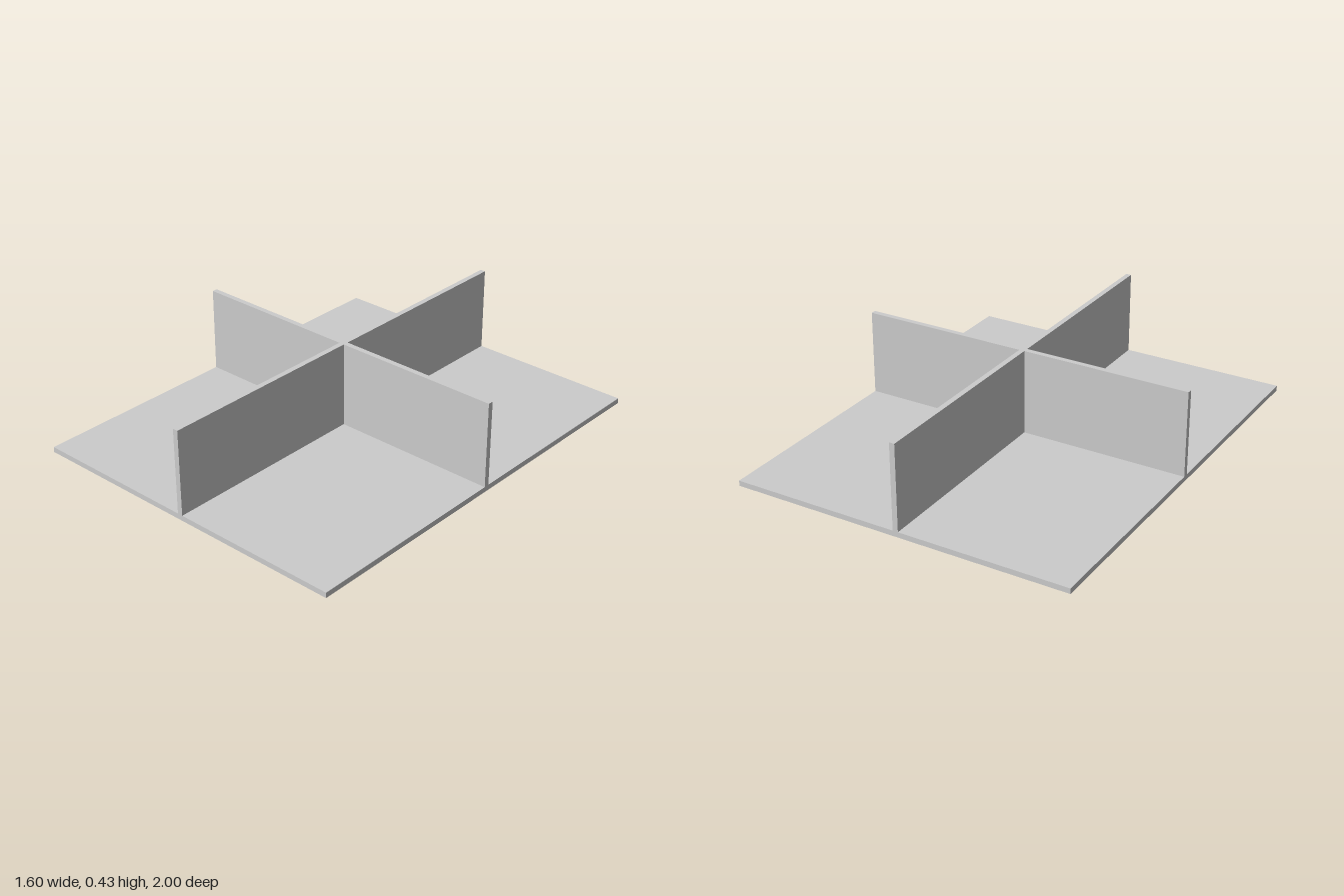
import * as THREE from 'three';

const WIDTH = 1.6, DEPTH = 2, THICK = 0.025, WALL_HEIGHT = 0.4;

export function createModel() {
  const model = new THREE.Group();
  model.name = 'dividedTray';
  const material = new THREE.MeshStandardMaterial({ color: 0xcccccc, flatShading: true });

  // Box standing on the given height
  function addPanel(name, w, h, d, x, bottom) {
    const mesh = new THREE.Mesh(new THREE.BoxGeometry(w, h, d), material);
    mesh.name = name;
    mesh.position.set(x, bottom + h / 2, 0);
    model.add(mesh);
  }

  // Flat floor plate
  addPanel('basePlate', WIDTH, THICK, DEPTH, 0, 0);

  // Full-length wall running front to back
  addPanel('longDivider', THICK, WALL_HEIGHT, DEPTH, 0, THICK);

  // Cross wall in two halves that butt against the long one
  const half = (WIDTH - THICK) / 2;
  for (const [name, side] of [['leftDivider', 1], ['rightDivider', -1]]) {
    addPanel(name, half, WALL_HEIGHT, THICK, side * (THICK + half) / 2, THICK);
  }

  return model;
}
